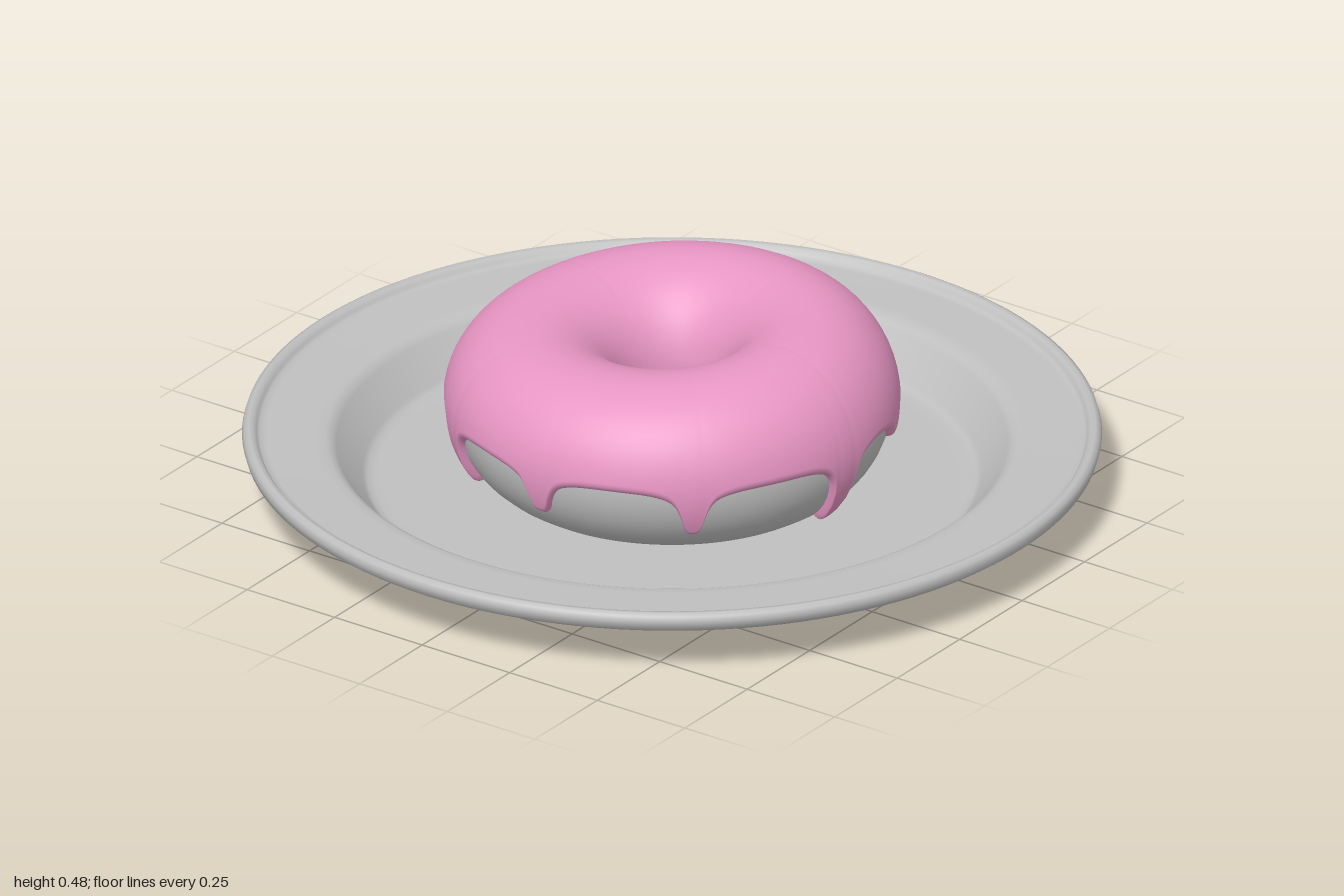
import * as THREE from 'three';

const RING = 0.322, WIDE = 0.19, TALL = 0.2, MID = 0.237;
const RAD = Math.PI / 180;

// Drips: [angle from +x towards +z in degrees, height of the tip]
const DRIPS = [
  [-19, 0.12], [25, 0.06], [64, 0.19], [94, 0.065], [139, 0.125],
  [181, 0.14], [220, 0.08], [257, 0.165], [290, 0.06],
];

// Point on the slightly uneven ring; lift pushes it outwards
function ringPoint(theta, phi, lift) {
  const c = Math.cos(theta), s = Math.sin(theta);
  const r = RING + (WIDE + lift) * Math.cos(phi);
  const wave = (0.016 * c + 0.01 * s) * Math.max(0, Math.sin(phi));
  return [r * c, MID + (TALL + lift) * Math.sin(phi) + wave, r * s];
}

// Surface swept around y; rows run around the section
function sweep(cols, rows, closed, point) {
  const pos = [], index = [];
  const stride = closed ? rows : rows + 1;
  for (let i = 0; i < cols; i++) {
    for (let j = 0; j < stride; j++) pos.push(...point((i / cols) * Math.PI * 2, j));
    const n = (i + 1) % cols;
    for (let j = 0; j < rows; j++) {
      const k = (j + 1) % stride;
      const a = i * stride + j, b = i * stride + k;
      const c = n * stride + j, d = n * stride + k;
      index.push(a, b, c, b, d, c);
    }
  }
  const g = new THREE.BufferGeometry();
  g.setAttribute('position', new THREE.Float32BufferAttribute(pos, 3));
  g.setIndex(index);
  g.computeVertexNormals();
  return g;
}

// Height of the lower icing edge: shallow arches between narrow rounded drips
function edgeHeight(theta) {
  const deg = theta / RAD;
  let nearest = 180, drop = 0;
  const base = 0.24;
  for (const [angle, tip] of DRIPS) {
    const d = Math.abs(((deg - angle + 540) % 360) - 180);
    nearest = Math.min(nearest, d);
    drop = Math.max(drop, (base - tip) / (1 + Math.pow(d / 3.4, 4)));
  }
  const sag = 0.022 * Math.exp(-Math.pow(nearest / 9, 2));
  return base - Math.max(drop, sag + drop * 0.7);
}

// Icing point: rounded lip at the outer edge, full coat, rounded lip in the hole
function icingPoint(theta, row) {
  const LIP = 7, BODY = 34, lipArc = 0.12, coat = 0.02;
  const start = Math.asin(Math.max(-0.95, (edgeHeight(theta) - MID) / (TALL + coat * 0.5)));
  const end = Math.PI + 0.55;
  let phi, lift = coat;
  if (row <= LIP) {
    const a = (row / LIP) * Math.PI / 2;
    phi = start + lipArc * (1 - Math.cos(a));
    lift = -0.004 + (coat + 0.004) * Math.sin(a);
  } else if (row >= LIP + BODY) {
    const a = ((row - LIP - BODY) / LIP) * Math.PI / 2;
    phi = end - lipArc * (1 - Math.sin(a));
    lift = -0.004 + (coat + 0.004) * Math.cos(a);
  } else {
    const t = (row - LIP) / BODY;
    phi = start + lipArc + t * (end - start - 2 * lipArc);
  }
  return ringPoint(theta, phi, lift);
}

export function createModel() {
  const grey = new THREE.MeshStandardMaterial({ color: 0xc0c0c0 });
  grey.name = 'light grey';
  const pink = new THREE.MeshStandardMaterial({ color: 0xe896c4 });
  pink.name = 'pink icing';

  const model = new THREE.Group();
  model.name = 'donutOnPlate';
  const add = (name, geometry, material) => {
    const mesh = new THREE.Mesh(geometry, material);
    mesh.name = name;
    model.add(mesh);
  };

  // Plate: underside, rolled rim, then the dished top
  const profile = [
    [0, 0], [0.66, 0], [0.685, 0.002], [0.705, 0.011], [0.72, 0.024],
    [0.79, 0.095], [0.805, 0.106], [0.825, 0.111], [0.86, 0.112],
    [0.95, 0.115], [0.98, 0.119], [0.995, 0.13], [1, 0.148],
    [0.996, 0.162], [0.985, 0.168], [0.973, 0.166], [0.966, 0.156],
    [0.96, 0.148], [0.945, 0.146], [0.83, 0.143], [0.805, 0.141],
    [0.79, 0.134], [0.78, 0.123], [0.72, 0.049], [0.708, 0.039],
    [0.69, 0.035], [0.66, 0.035], [0, 0.035],
  ].map(([x, y]) => new THREE.Vector2(x, y));
  add('plate', new THREE.LatheGeometry(profile, 128), grey);

  // Dough ring
  add('dough', sweep(96, 40, true, (t, j) => ringPoint(t, (j / 40) * Math.PI * 2, 0)), grey);

  // Icing with drips
  add('icing', sweep(540, 48, false, icingPoint), pink);

  return model;
}
